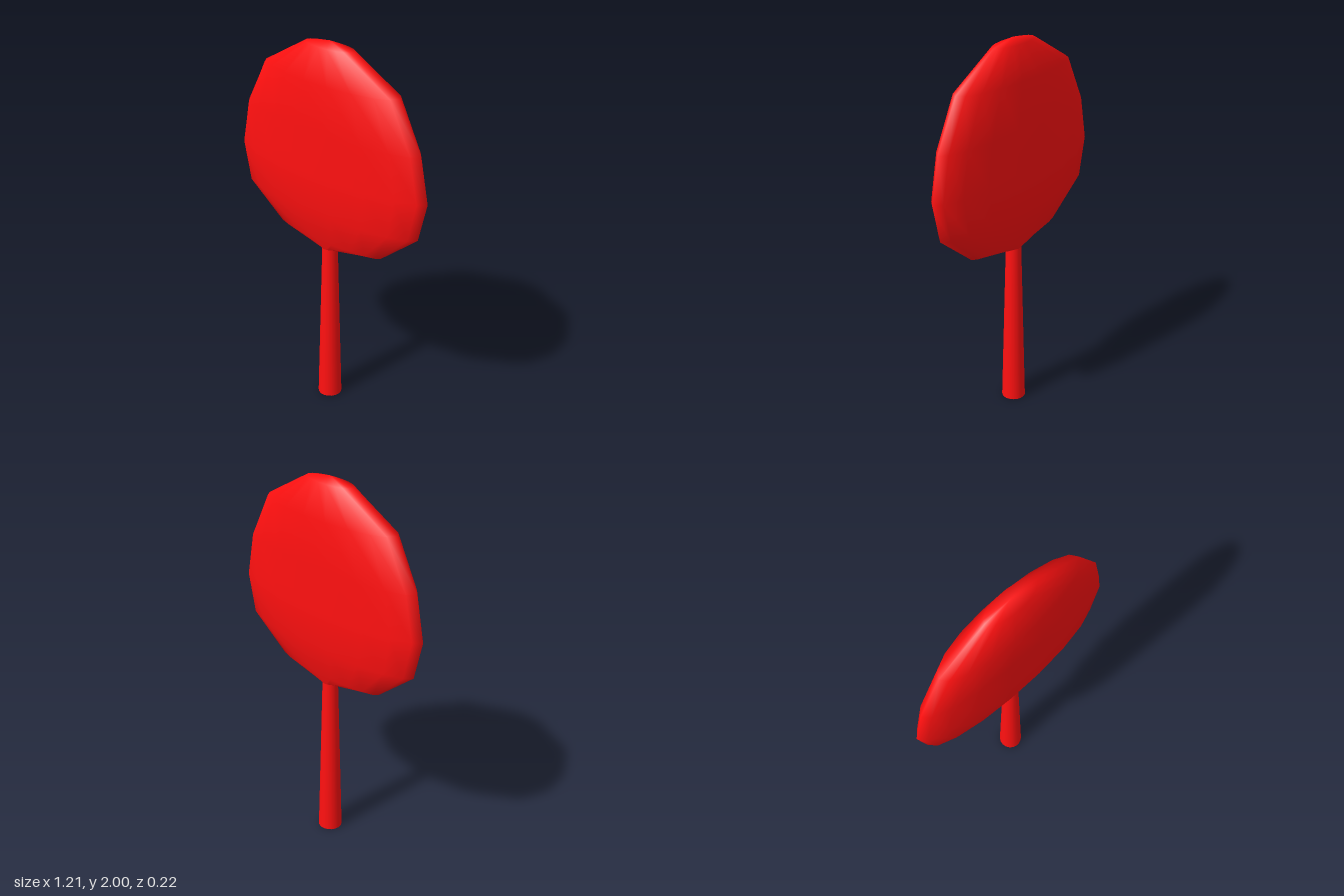
import * as THREE from 'three';
import { mergeVertices } from 'three/addons/utils/BufferGeometryUtils.js';

const SIDES = 18;
const red = new THREE.MeshStandardMaterial({ color: 0xff1010 });
const redInside = new THREE.MeshStandardMaterial({ color: 0xff1010, side: THREE.BackSide });

function addPart(group, name, geometry, y = 0, material = red) {
  const mesh = new THREE.Mesh(geometry, material);
  mesh.name = name;
  mesh.position.y = y;
  group.add(mesh);
  return mesh;
}

// Flattened disc: stacked elliptical rings, each [y, half width, half depth]
function headGeometry() {
  const rings = [
    [0.9, 0.04, 0.04],
    [0.955, 0.337, 0.057],
    [1.135, 0.557, 0.11],
    [1.34, 0.605, 0.11],
    [1.57, 0.557, 0.11],
    [1.815, 0.425, 0.11],
    [1.975, 0.15, 0.056],
    [2, 0, 0],
  ];
  const profile = rings.map(([y, w]) => new THREE.Vector2(w, y));
  const lathe = new THREE.LatheGeometry(profile, SIDES, Math.PI / 2);
  const pos = lathe.attributes.position;
  for (let i = 0; i < pos.count; i++) {
    const [, w, d] = rings[i % rings.length];
    pos.setZ(i, w > 0 ? pos.getZ(i) * d / w : 0);
  }
  // Weld the seam so the shading is smooth all round
  lathe.deleteAttribute('uv');
  lathe.deleteAttribute('normal');
  const welded = mergeVertices(lathe, 1e-4);
  welded.computeVertexNormals();
  return welded;
}

export function createModel() {
  const model = new THREE.Group();
  model.name = 'paddle';

  addPart(model, 'head', headGeometry());

  // Tapered hollow handle, open at the bottom
  const handle = new THREE.Group();
  handle.name = 'handle';
  const height = 0.91;
  addPart(handle, 'handleOuter',
    new THREE.CylinderGeometry(0.04, 0.063, height, SIDES, 1, true, Math.PI / 2), height / 2);
  addPart(handle, 'handleBore',
    new THREE.CylinderGeometry(0.024, 0.036, height, SIDES, 1, true, Math.PI / 2), height / 2, redInside);
  const rim = addPart(handle, 'handleRim', new THREE.RingGeometry(0.036, 0.063, SIDES));
  rim.rotation.x = Math.PI / 2;
  model.add(handle);

  return model;
}
